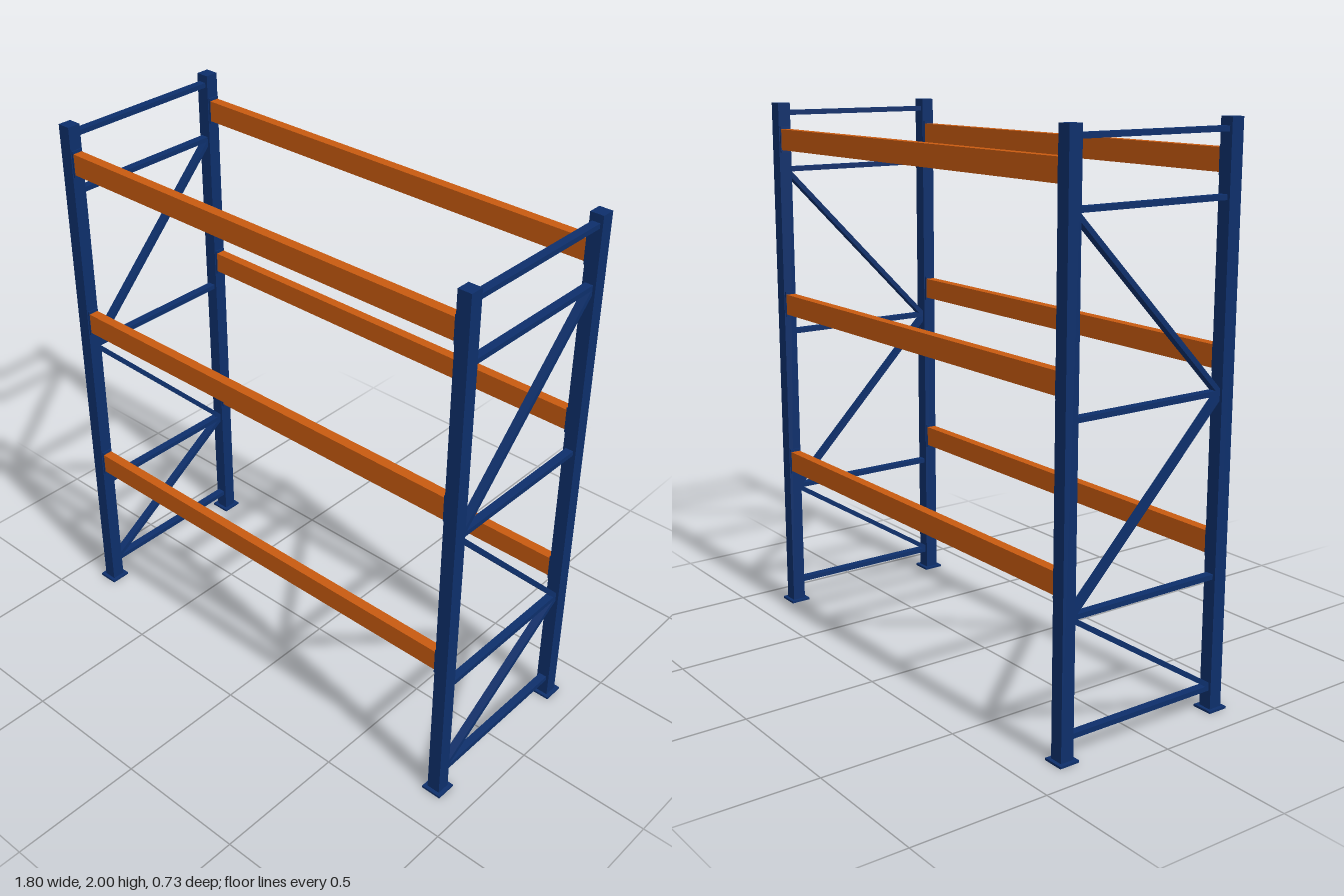
import * as THREE from 'three';

const blue = new THREE.MeshStandardMaterial({ color: 0x0d2f6b });
blue.name = 'frame blue';
const orange = new THREE.MeshStandardMaterial({ color: 0xc85a10 });
orange.name = 'beam orange';

const POST_X = 0.861, POST_Z = 0.327, POST = 0.05;

function box(parent, name, size, position, material) {
  const mesh = new THREE.Mesh(new THREE.BoxGeometry(...size), material);
  mesh.name = name;
  mesh.position.set(...position);
  parent.add(mesh);
  return mesh;
}

// Bar in a side frame, running between two [z, y] points
function brace(parent, name, [z0, y0], [z1, y1]) {
  const dz = z1 - z0, dy = y1 - y0;
  const bar = box(parent, name, [0.03, 0.018, Math.hypot(dz, dy)],
    [0, (y0 + y1) / 2, (z0 + z1) / 2], blue);
  bar.rotation.x = -Math.atan2(dy, dz);
}

// Two posts on foot plates joined by horizontal and zigzag braces
function sideFrame(name, x) {
  const frame = new THREE.Group();
  frame.name = name;
  frame.position.x = x;
  for (const s of [1, -1]) {
    const end = s > 0 ? 'front' : 'back';
    box(frame, end + 'Post', [POST, 1.992, POST], [0, 1.004, s * POST_Z], blue);
    box(frame, end + 'FootPlate', [0.077, 0.008, 0.077], [0, 0.004, s * POST_Z], blue);
  }
  const inner = POST_Z - POST / 2;
  for (const y of [0.083, 0.485, 1.118, 1.75, 1.963])
    brace(frame, 'horizontalBrace', [inner, y], [-inner, y]);
  const zigzag = [[0.31, 0.088], [-0.31, 0.482], [0.31, 1.112], [-0.31, 1.742]];
  for (let i = 0; i < 3; i++) brace(frame, 'diagonalBrace', zigzag[i], zigzag[i + 1]);
  return frame;
}

export function createModel() {
  const rack = new THREE.Group();
  rack.name = 'palletRack';
  rack.add(sideFrame('leftFrame', POST_X), sideFrame('rightFrame', -POST_X));

  // Three levels of load beams, with connector plates at the posts
  const plateX = POST_X - POST / 2 - 0.003;
  for (const y of [0.596, 1.231, 1.864]) {
    for (const s of [1, -1]) {
      const beam = new THREE.Group();
      beam.name = (s > 0 ? 'front' : 'back') + 'Beam';
      beam.position.set(0, y, s * POST_Z);
      box(beam, 'beamBar', [2 * plateX - 0.006, 0.078, 0.037], [0, 0, 0], orange);
      for (const side of [1, -1])
        box(beam, 'beamConnector', [0.006, 0.098, 0.042], [side * plateX, 0, 0], blue);
      rack.add(beam);
    }
  }
  return rack;
}
